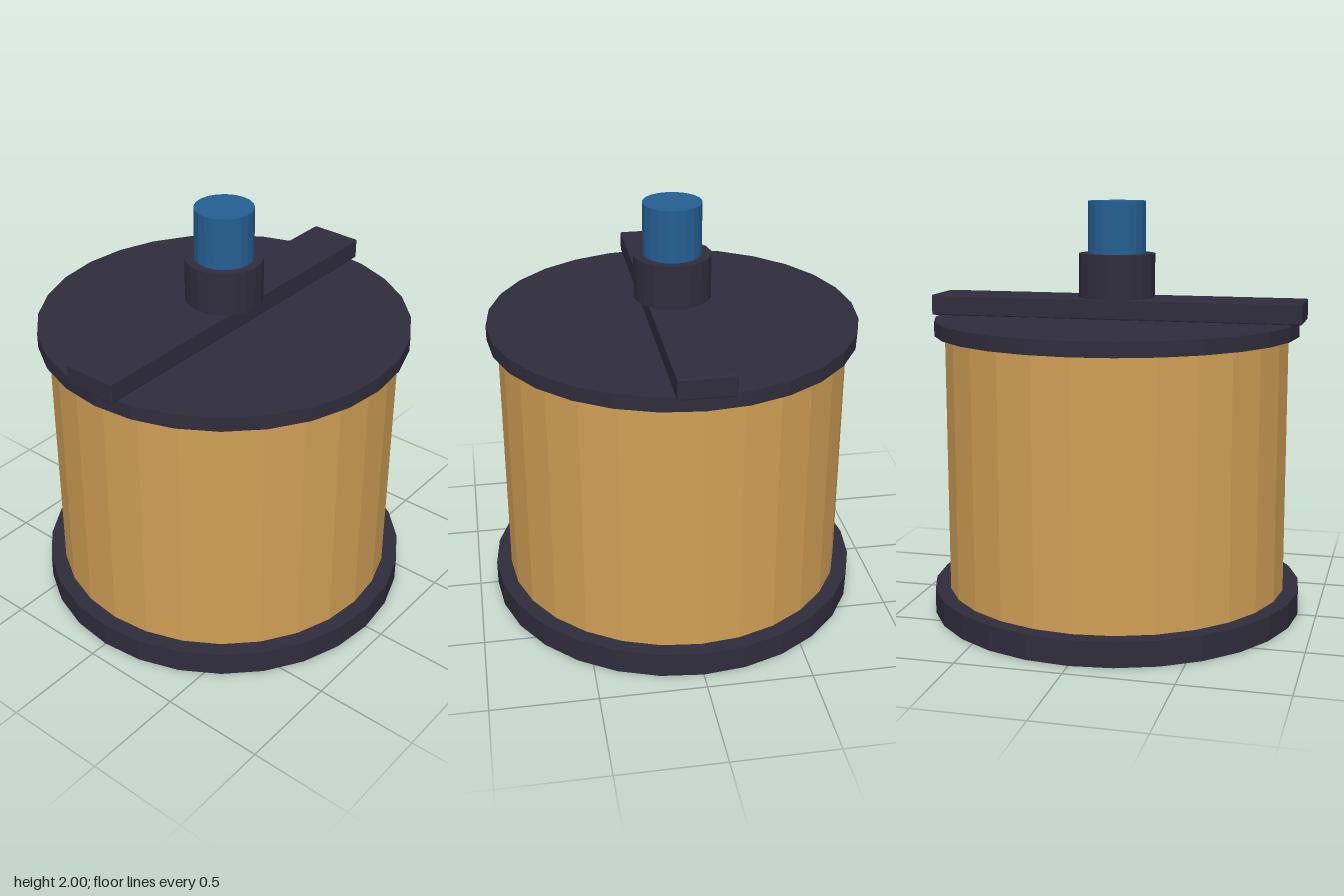
import * as THREE from 'three';
import { RoundedBoxGeometry } from 'three/addons/geometries/RoundedBoxGeometry.js';

function material(name, color) {
  const m = new THREE.MeshStandardMaterial({ color, flatShading: true });
  m.name = name;
  return m;
}

export function createModel() {
  const group = new THREE.Group();
  group.name = 'spool';
  const dark = material('dark slate', 0x2f2d3c);
  const tan = material('tan', 0xd2a056);
  const blue = material('blue', 0x255f93);

  // Upright faceted cylinder between two heights
  function disc(name, radius, bottom, top, sides, mat) {
    const mesh = new THREE.Mesh(new THREE.CylinderGeometry(radius, radius, top - bottom, sides), mat);
    mesh.position.y = (bottom + top) / 2;
    mesh.name = name;
    group.add(mesh);
  }

  // Drum between two flanges
  disc('bottomFlange', 0.91, 0, 0.12, 28, dark);
  disc('drum', 0.835, 0.12, 1.37, 28, tan);
  disc('topFlange', 0.885, 1.37, 1.44, 28, dark);

  // Cross bar with slightly softened edges
  const bar = new THREE.Mesh(new RoundedBoxGeometry(1.82, 0.1, 0.26, 1, 0.007), dark);
  bar.position.y = 1.49;
  bar.name = 'crossBar';
  group.add(bar);

  // Collar and shaft
  disc('collar', 0.185, 1.54, 1.75, 20, dark);
  disc('shaft', 0.14, 1.75, 2, 20, blue);

  return group;
}
